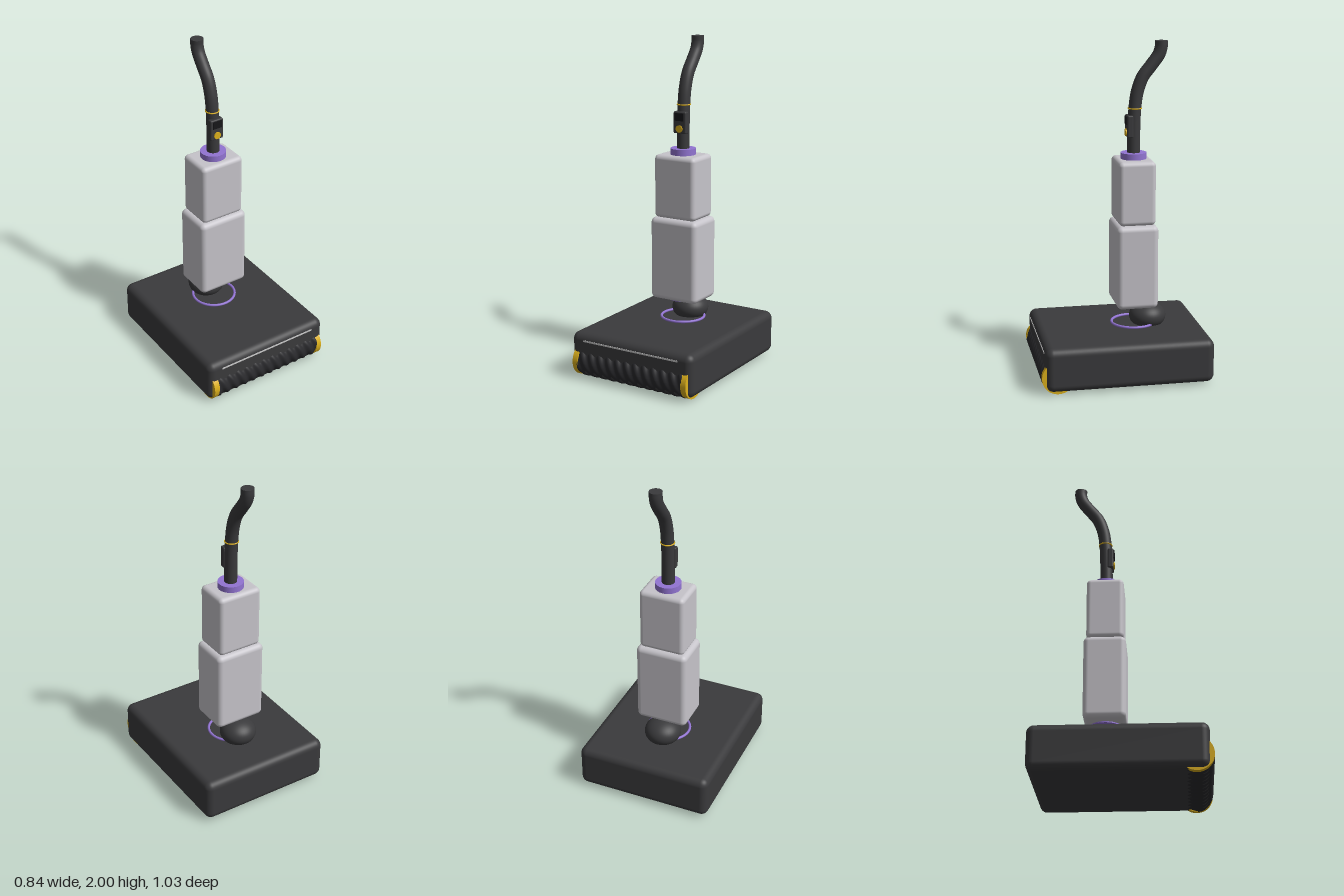
import * as THREE from 'three';
import { RoundedBoxGeometry } from 'three/addons/geometries/RoundedBoxGeometry.js';

const DARK = 0x3a3a3c, BLACK = 0x17171a, YELLOW = 0xdcb01c, PURPLE = 0x9274d2, SHELL = 0xc6c4ca, LIGHT = 0xd8d8d8;
const AXIS_Z = -0.103; // z of the upright column

export function createModel() {
  const model = new THREE.Group();
  model.name = 'floorCleaner';

  const add = (name, geometry, color, x, y, z) => {
    const mesh = new THREE.Mesh(geometry, new THREE.MeshStandardMaterial({ color }));
    mesh.name = name;
    mesh.position.set(x, y, z);
    model.add(mesh);
    return mesh;
  };
  const box = (w, h, d, r) => new RoundedBoxGeometry(w, h, d, 5, r);

  // Floor head with a light strip across its front
  add('floorHead', box(0.84, 0.265, 1.005, 0.045), DARK, 0, 0.1475, -0.0125);
  add('lightStrip', new THREE.BoxGeometry(0.66, 0.01, 0.008), LIGHT, 0, 0.236, 0.488);

  // Brush roller: a cylinder with helical ridges
  const roller = new THREE.CylinderGeometry(1, 1, 0.73, 64, 120, true);
  const p = roller.attributes.position;
  for (let i = 0; i < p.count; i++) {
    const angle = Math.atan2(p.getZ(i), p.getX(i));
    const r = 0.095 + 0.005 * Math.cos(4 * angle + p.getY(i) * 100);
    p.setXYZ(i, r * Math.cos(angle), p.getY(i), r * Math.sin(angle));
  }
  roller.computeVertexNormals();
  roller.rotateZ(Math.PI / 2);
  add('brushRoller', roller, 0x29292c, 0, 0.1, 0.415);
  for (const side of [-1, 1]) {
    const cap = new THREE.CylinderGeometry(0.097, 0.097, 0.035, 48).rotateZ(Math.PI / 2);
    add(side > 0 ? 'leftRollerCap' : 'rightRollerCap', cap, YELLOW, side * 0.378, 0.1, 0.416);
  }

  // Swivel joint
  const ball = add('swivelBall', new THREE.SphereGeometry(0.112, 40, 24), DARK, 0, 0.325, -0.192);
  ball.scale.y = 0.73;
  add('swivelRing', new THREE.TorusGeometry(0.132, 0.008, 12, 64).rotateX(Math.PI / 2), PURPLE, 0, 0.289, AXIS_Z);
  add('jointDisc', new THREE.CylinderGeometry(0.09, 0.09, 0.02, 48), PURPLE, 0, 0.413, AXIS_Z);

  // Stacked tanks and neck collar
  add('lowerTank', box(0.322, 0.51, 0.25, 0.032), SHELL, 0, 0.665, AXIS_Z);
  add('upperTank', box(0.282, 0.385, 0.222, 0.027), SHELL, 0, 1.1125, AXIS_Z);
  add('neckCollar', new THREE.CylinderGeometry(0.077, 0.077, 0.05, 48), PURPLE, 0, 1.317, AXIS_Z);

  // Handle: a straight stem that bends backwards
  const path = new THREE.CatmullRomCurve3([
    [1.32, -0.103], [1.45, -0.104], [1.6, -0.11], [1.7, -0.124], [1.79, -0.157],
    [1.86, -0.21], [1.92, -0.253], [1.965, -0.267], [2, -0.267],
  ].map(([y, z]) => new THREE.Vector3(0, y, z)));
  add('handle', new THREE.TubeGeometry(path, 80, 0.038, 28), DARK, 0, 0, 0);
  add('handleEnd', new THREE.CircleGeometry(0.038, 28).rotateX(-Math.PI / 2), DARK, 0, 2, -0.267);
  add('handleRing', new THREE.TorusGeometry(0.039, 0.004, 10, 40).rotateX(Math.PI / 2), YELLOW, 0, 1.605, -0.11);

  // Control panel
  add('controlPanel', box(0.086, 0.132, 0.036, 0.008), DARK, 0, 1.5, -0.077);
  add('screen', new THREE.BoxGeometry(0.06, 0.046, 0.008), BLACK, 0, 1.534, -0.058);
  add('powerButton', new THREE.CylinderGeometry(0.022, 0.022, 0.01, 32).rotateX(Math.PI / 2), YELLOW, 0, 1.463, -0.057);

  return model;
}
